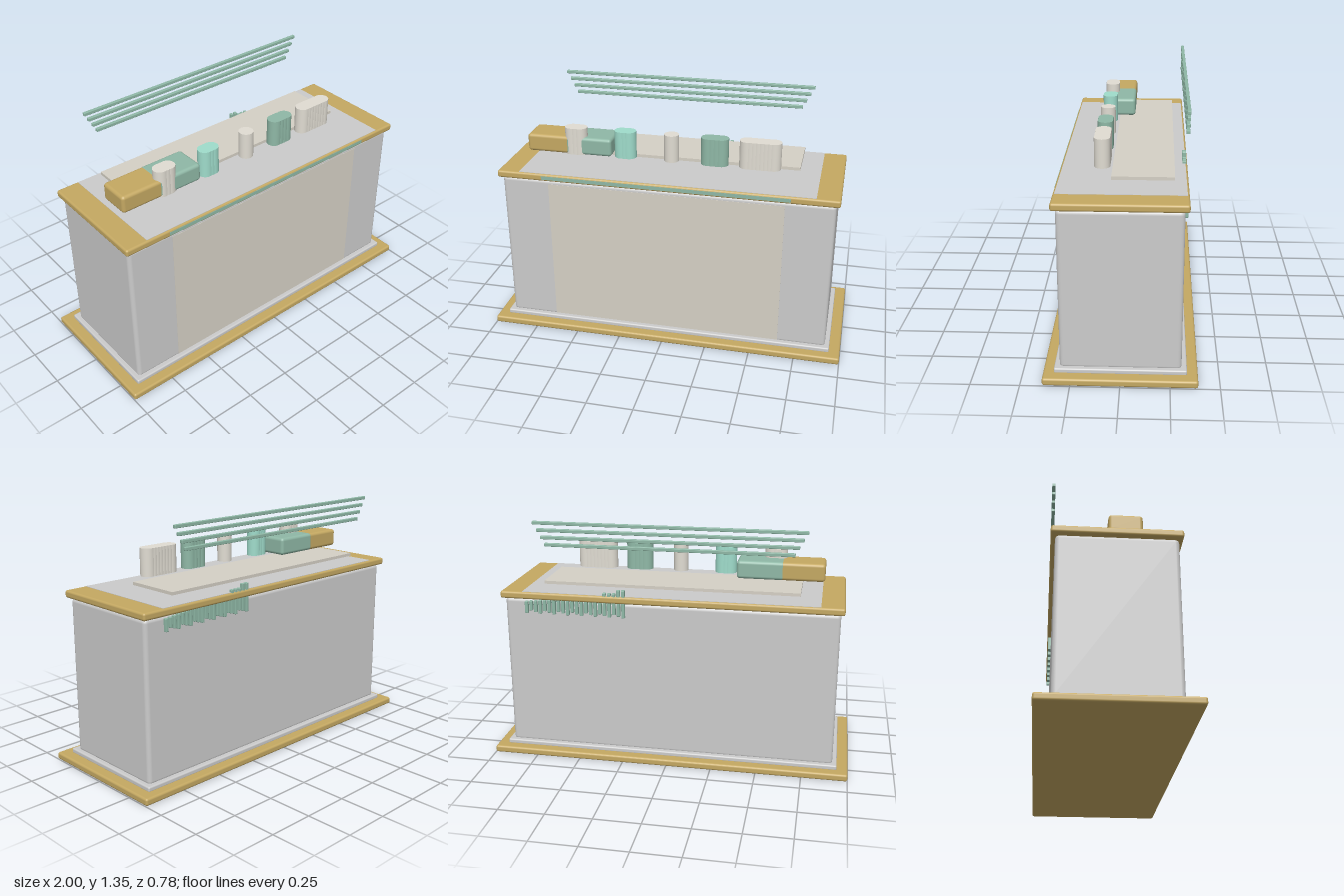
import * as THREE from 'three';
import { RoundedBoxGeometry } from 'three/addons/geometries/RoundedBoxGeometry.js';

const mat = (color) => new THREE.MeshStandardMaterial({ color });
const gold = mat(0xc4a862);
const grey = mat(0xcccccc);
const beige = mat(0xd5d0c5);
const cream = mat(0xe0dcd2);
const teal = mat(0x8fb8a6);
const mint = mat(0x9fdccb);

export function createModel() {
  const model = new THREE.Group();

  const add = (name, geometry, material, parent = model) => {
    const mesh = new THREE.Mesh(geometry, material);
    mesh.name = name;
    parent.add(mesh);
    return mesh;
  };

  // Box given by its limits on each axis; r rounds the edges
  const box = (name, [x0, x1], [y0, y1], [z0, z1], material, r = 0, parent = model) => {
    const size = [x1 - x0, y1 - y0, z1 - z0];
    const geometry = r ? new RoundedBoxGeometry(...size, 3, r) : new THREE.BoxGeometry(...size);
    const mesh = add(name, geometry, material, parent);
    mesh.position.set((x0 + x1) / 2, (y0 + y1) / 2, (z0 + z1) / 2);
    return mesh;
  };

  // Cabinet: base slab, plinth, body and worktop
  box('baseSlab', [-1, 1], [0, 0.04], [-0.39, 0.39], gold, 0.012);
  box('plinth', [-0.94, 0.94], [0.035, 0.063], [-0.335, 0.335], grey, 0.008);
  box('body', [-0.915, 0.915], [0.05, 0.915], [-0.308, 0.308], grey, 0.022);
  box('frontPanel', [-0.65, 0.65], [0.064, 0.89], [0.3, 0.31], beige);
  box('worktop', [-0.935, 0.935], [0.915, 0.955], [-0.33, 0.33], gold, 0.012);
  box('worktopInlay', [-0.81, 0.81], [0.94, 0.957], [-0.32, 0.32], grey);
  box('worktopFrontTrim', [-0.68, 0.68], [0.925, 0.945], [0.32, 0.332], teal);

  // Thin tray hovering above the worktop
  box('tray', [-0.7, 0.7], [0.99, 1.007], [-0.26, 0.052], beige);

  // Two-tone block on the right-hand end
  box('blockOuter', [-0.82, -0.56], [1.01, 1.11], [-0.037, 0.14], gold, 0.018);
  box('blockInner', [-0.6, -0.335], [1.01, 1.111], [-0.038, 0.141], teal, 0.018);

  // Clusters of overlapping upright cylinders: first and last centre, count, colour
  const clusters = [
    [-0.565, -0.52, 3, cream],
    [-0.28, -0.24, 3, mint],
    [0, 0, 1, cream],
    [0.205, 0.275, 4, teal],
    [0.415, 0.56, 8, cream],
  ];
  const canGeometry = new THREE.CylinderGeometry(0.041, 0.041, 0.152, 24);
  clusters.forEach(([from, to, count, material], c) => {
    const cluster = new THREE.Group();
    cluster.name = `canister cluster ${c + 1}`;
    for (let i = 0; i < count; i++) {
      const t = count > 1 ? i / (count - 1) : 0;
      const can = add('canister', canGeometry, material, cluster);
      can.position.set(from + (to - from) * t, 1.086, 0.104);
    }
    model.add(cluster);
  });

  // Floating rods above the back edge, shorter towards the bottom
  for (let i = 0; i < 4; i++) {
    const half = 0.73 - i * 0.021;
    const y = 1.342 - i * 0.039;
    box('rod', [-half, half], [y - 0.009, y + 0.009], [-0.329, -0.311], teal, 0.003);
  }

  // Row of small vertical bars at the back, stepping down to the left
  const bars = new THREE.Group();
  bars.name = 'backBars';
  for (let i = 0; i < 22; i++) {
    const x = 0.243 + i * 0.026;
    const top = i < 2 ? 0.99 : i < 5 ? 0.97 : 0.95 - (i - 5) * 0.003;
    const bottom = 0.835 + (i % 3) * 0.008;
    box('bar', [x - 0.009, x + 0.009], [bottom, top], [-0.325, -0.304], teal, 0.003, bars);
  }
  model.add(bars);

  return model;
}
